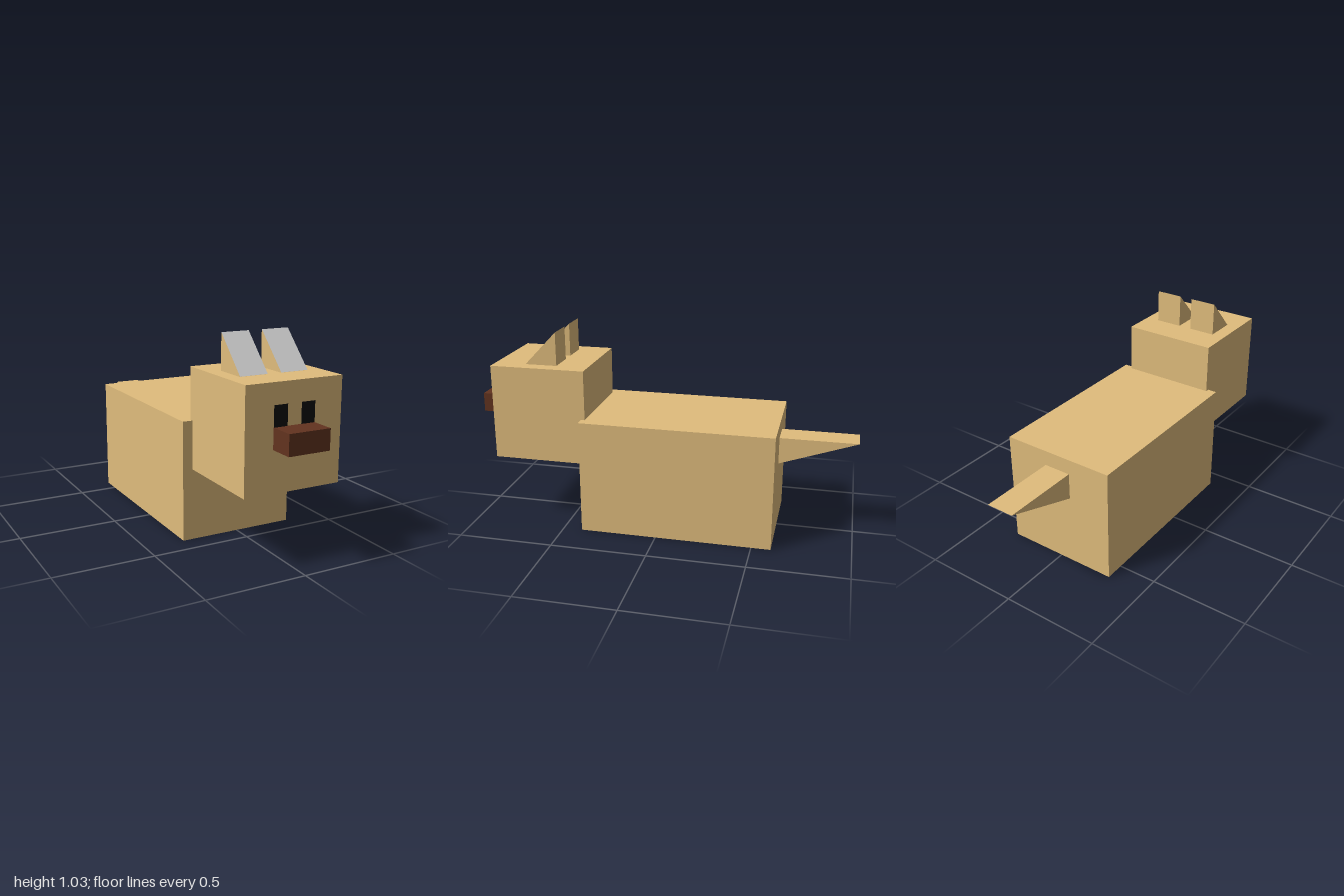
import * as THREE from 'three';

const material = (color) => new THREE.MeshStandardMaterial({ color, flatShading: true });

export function createModel() {
  const group = new THREE.Group();
  const fur = material(0xe0bc7c);
  const brown = material(0x62331f);
  const black = material(0x0d0d0d);
  const grey = material(0xcccccc);

  function add(name, geometry, mat, x, y, z) {
    const mesh = new THREE.Mesh(geometry, mat);
    mesh.name = name;
    mesh.position.set(x, y, z);
    group.add(mesh);
    return mesh;
  }

  // Triangular prism: profile points are [z, y], centred across x
  function wedge(points, width) {
    const shape = new THREE.Shape(points.map(([z, y]) => new THREE.Vector2(z, y)));
    return new THREE.ExtrudeGeometry(shape, { depth: width, bevelEnabled: false })
      .translate(0, 0, -width / 2)
      .rotateY(-Math.PI / 2);
  }

  // Body, head and snout
  add('body', new THREE.BoxGeometry(0.6, 0.6, 1), fur, 0, 0.3, -0.1);
  add('head', new THREE.BoxGeometry(0.5, 0.5, 0.5), fur, 0, 0.608, 0.63);
  add('snout', new THREE.BoxGeometry(0.212, 0.1, 0.12), brown, 0, 0.609, 0.94);

  // Tail tapers to its raised tip
  add('tail', wedge([[-0.6, 0.38], [-0.6, 0.52], [-1, 0.52]], 0.143), fur, 0, 0, 0);

  // Ear slope from its front foot to its rear peak
  const foot = [0.715, 0.858], peak = [0.547, 1.033];
  const run = foot[0] - peak[0], rise = peak[1] - foot[1];

  for (const [label, side] of [['left', 1], ['right', -1]]) {
    add(label + 'Eye', new THREE.PlaneGeometry(0.071, 0.1), black, side * 0.071, 0.708, 0.882);

    add(label + 'Ear', wedge([foot, peak, [peak[0], foot[1]]], 0.143), fur, side * 0.107, 0, 0);

    // Grey face lying on the slope of the ear
    const inner = add(label + 'InnerEar', new THREE.PlaneGeometry(0.143, Math.hypot(run, rise)), grey,
      side * 0.107, (foot[1] + peak[1]) / 2 + 0.001, (foot[0] + peak[0]) / 2 + 0.001);
    inner.rotation.x = -Math.atan2(run, rise);
  }

  return group;
}
